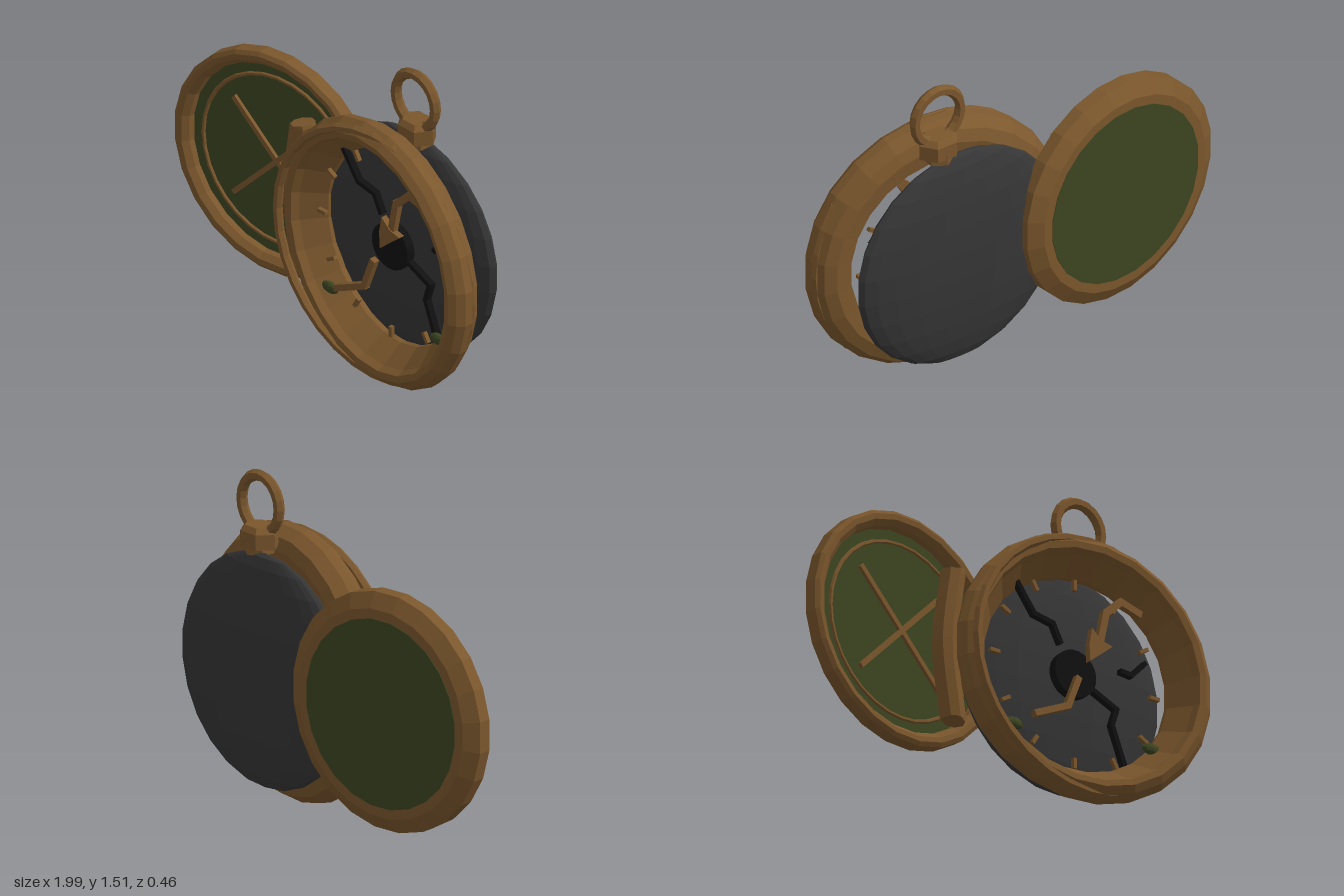
import * as THREE from 'three';

const mat = (name, color) => {
  const m = new THREE.MeshStandardMaterial({ color, flatShading: true });
  m.name = name;
  return m;
};

export function createModel() {
  const brass = mat('aged brass', 0x7b572d);
  const green = mat('dark green', 0x3d4622);
  const dark = mat('dark grey', 0x363636);
  const black = mat('black', 0x101010);
  const model = new THREE.Group();
  model.name = 'openCompass';

  const add = (parent, name, geo, material, x = 0, y = 0, z = 0) => {
    const m = new THREE.Mesh(geo, material);
    m.name = name;
    m.position.set(x, y, z);
    parent.add(m);
    return m;
  };
  const group = (name, x, y, z, tilt = 0) => {
    const g = new THREE.Group();
    g.name = name;
    g.position.set(x, y, z);
    g.rotation.y = tilt;
    model.add(g);
    return g;
  };
  // Closed ring profile of [radius, depth], turned to face +z
  const ring = (pts) => new THREE.LatheGeometry(
    [...pts, pts[0]].map(p => new THREE.Vector2(...p)), 24, Math.PI / 24).rotateX(Math.PI / 2);
  const disc = (r, depth) => new THREE.CylinderGeometry(r, r, depth, 24, 1, false, Math.PI / 24).rotateX(Math.PI / 2);
  // Jointed strip of bars through a list of points
  const strip = (parent, name, pts, width, depth, material, z) => {
    for (let i = 0; i + 1 < pts.length; i++) {
      const [ax, ay] = pts[i], [bx, by] = pts[i + 1];
      const geo = new THREE.BoxGeometry(Math.hypot(bx - ax, by - ay) + width * 0.6, width, depth);
      add(parent, name, geo, material, (ax + bx) / 2, (ay + by) / 2, z)
        .rotation.z = Math.atan2(by - ay, bx - ax);
    }
  };

  // Lid: a shallow tray with green floor and back
  const lid = group('lid', -0.463, 0.662, -0.12, 0.12);
  add(lid, 'lidRim', ring([[0.42, -0.055], [0.475, -0.055], [0.543, -0.015], [0.543, 0.045],
    [0.525, 0.058], [0.5, 0.055], [0.475, 0.03], [0.465, -0.02], [0.42, -0.02]]), brass);
  add(lid, 'lidBack', disc(0.43, 0.03), green, 0, 0, -0.043);
  add(lid, 'lidFloor', disc(0.47, 0.03), green, 0, 0, -0.012);
  add(lid, 'lidInnerRing', new THREE.TorusGeometry(0.412, 0.01, 6, 32), brass, 0, 0, 0.005);
  for (const s of [-1, 1])
    strip(lid, 'lidCross', [[-0.235, -0.235 * s], [0.235, 0.235 * s]], 0.024, 0.02, brass, 0.01);

  // Hinge barrel bent around the case
  const bend = new THREE.CatmullRomCurve3([
    new THREE.Vector3(-0.235, 0.975, -0.04), new THREE.Vector3(-0.278, 0.625, -0.04),
    new THREE.Vector3(-0.235, 0.275, -0.04)]);
  add(model, 'hinge', new THREE.TubeGeometry(bend, 10, 0.057, 8), brass);
  for (const s of [-1, 1]) {
    const cap = add(model, 'hingeCap', new THREE.CylinderGeometry(0.056, 0.056, 0.02, 8), brass, -0.235, 0.625 + s * 0.345, -0.04);
    cap.rotation.z = s * 0.22;
  }

  // Case ring, open front and back, tilted against the bezel
  const body = group('case', 0.37, 0.632, 0.07, -0.12);
  add(body, 'caseRing', ring([[0.455, -0.075], [0.53, -0.085], [0.585, -0.065], [0.622, -0.01], [0.627, 0.03],
    [0.605, 0.065], [0.575, 0.09], [0.545, 0.085], [0.53, 0.05], [0.455, -0.05]]), brass);
  add(model, 'bezel', new THREE.TorusGeometry(0.595, 0.022, 6, 32), brass, 0.372, 0.632, 0.125);

  // Lens-shaped dial body
  add(model, 'dial', new THREE.SphereGeometry(0.535, 24, 13).scale(1, 1, 0.165), dark, 0.365, 0.635, -0.098);
  add(model, 'hub', disc(0.11, 0.05), black, 0.37, 0.635, 0.005);

  // Hour ticks
  for (let i = 0; i < 12; i++) {
    const a = i * Math.PI / 6;
    const at = r => [0.37 + r * Math.cos(a), 0.632 + r * Math.sin(a)];
    strip(model, 'tick', [at(0.405), at(0.445)], 0.017, 0.02, brass, 0.018);
  }

  // Cracks
  const cracks = [
    [[0.06, 1.01], [0.16, 0.87], [0.26, 0.85], [0.3, 0.77]],
    [[0.47, 0.59], [0.6, 0.53], [0.575, 0.45], [0.64, 0.28]],
    [[0.75, 0.79], [0.68, 0.715], [0.625, 0.72]]];
  for (const c of cracks) strip(model, 'crack', c, 0.022, 0.03, black, 0.005);

  // Broken needle with arrowhead
  strip(model, 'needleShaft', [[0.45, 0.78], [0.48, 0.925], [0.56, 1.0], [0.66, 0.97]], 0.034, 0.03, brass, 0.09);
  strip(model, 'needleTail', [[0.335, 0.575], [0.28, 0.43], [0.11, 0.35]], 0.03, 0.03, brass, 0.09);
  const head = new THREE.Shape([[0.39, 0.67], [0.51, 0.77], [0.45, 0.785], [0.4, 0.83], [0.385, 0.75]]
    .map(p => new THREE.Vector2(...p)));
  add(model, 'needleHead', new THREE.ExtrudeGeometry(head, { depth: 0.03, bevelEnabled: false }), brass, 0, 0, 0.08);

  // Green studs on the inner wall
  for (const [x, y, z, w] of [[0.025, 0.297, 0.05, 0.05], [0.73, 0.347, 0.09, 0.05], [0.822, 0.82, 0.065, 0.024]])
    add(model, 'stud', new THREE.SphereGeometry(1, 8, 6).scale(w, 0.027, 0.02), green, x, y, z);

  // Stem and hanging loop
  const stem = group('crown', 0.445, 0, -0.062);
  add(stem, 'crownBase', new THREE.CylinderGeometry(0.1, 0.1, 0.07, 6, 1, false, Math.PI / 6).scale(1, 1, 0.78), brass, 0, 1.215, 0);
  add(stem, 'crownTop', new THREE.CylinderGeometry(0.075, 0.1, 0.025, 6, 1, false, Math.PI / 6).scale(1, 1, 0.78), brass, 0, 1.2625, 0);
  add(stem, 'crownNeck', new THREE.CylinderGeometry(0.07, 0.07, 0.05, 6), brass, 0, 1.175, 0);
  add(stem, 'loop', new THREE.TorusGeometry(0.121, 0.025, 6, 20).scale(1, 1.06, 1), brass, 0, 1.368, 0.007);
  return model;
}
